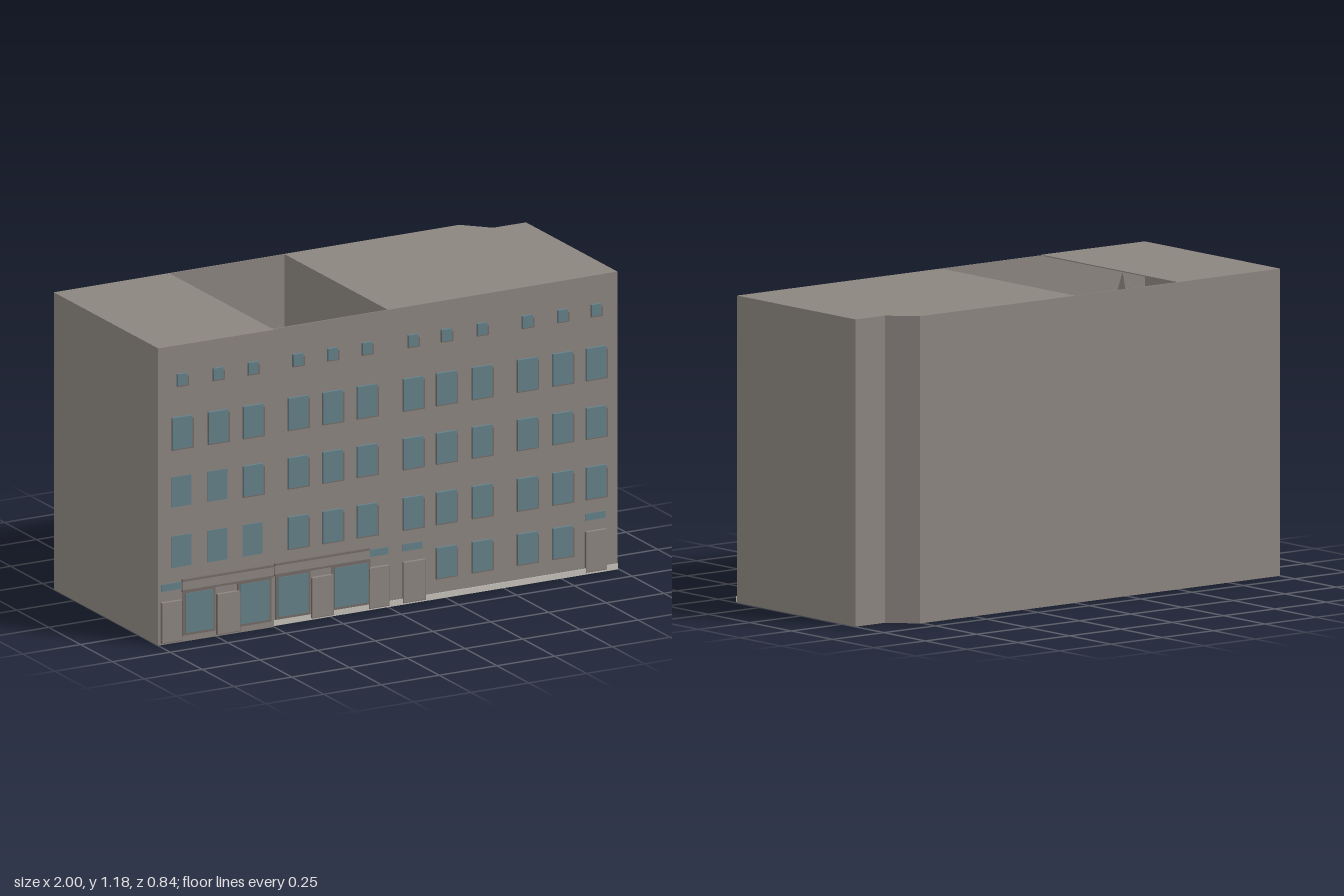
import * as THREE from 'three';

const mat = (name, color, side = THREE.FrontSide) => {
  const m = new THREE.MeshStandardMaterial({ color, side });
  m.name = name;
  return m;
};

export function createModel() {
  const model = new THREE.Group();
  model.name = 'cityBlock';
  const wall = mat('wall taupe', 0x8c8580);
  const glass = mat('window blue', 0x648089);
  const trim = mat('trim brown', 0x746b67);
  const stone = mat('plinth stone', 0xc6c2ba);
  const sheet = mat('partition taupe', 0x8c8580, THREE.DoubleSide);
  const H = 1.18, T = 0.004;

  // the facade line steps back slightly from left to right
  const frontZ = (x) => (x < -0.5 ? 0.405 + (x + 1) * 0.01 : 0.4 - (x + 0.5) * 0.006);

  function add(name, geometry, material, parent = model) {
    const mesh = new THREE.Mesh(geometry, material);
    mesh.name = name;
    parent.add(mesh);
    return mesh;
  }

  // vertical prism over a footprint of [x, z] points
  function prism(name, pts, y0, y1, material = wall) {
    const shape = new THREE.Shape(pts.map(([x, z]) => new THREE.Vector2(x, -z)));
    const g = new THREE.ExtrudeGeometry(shape, { depth: y1 - y0, bevelEnabled: false });
    g.rotateX(-Math.PI / 2).translate(0, y0, 0);
    return add(name, g, material);
  }

  // box on the facade, from x0..x1 and y0..y1, between two offsets from the wall
  function plate(name, x0, x1, y0, y1, near, far, material, parent = model) {
    const g = new THREE.BoxGeometry(x1 - x0, y1 - y0, far - near);
    const cx = (x0 + x1) / 2;
    g.translate(cx, (y0 + y1) / 2, frontZ(cx) + (near + far) / 2);
    return add(name, g, material, parent);
  }

  // solid right block with the cut corner at the back
  prism('rightBlock', [[0, 0.397], [0.997, 0.391], [0.997, -0.325], [0.855, -0.325],
    [0.76, -0.42], [0, -0.417]], 0, H);

  // hollow left block and the open light well beside it
  prism('leftFloor', [[-1, 0.405], [-0.5, 0.41], [-0.5, 0.4], [0, 0.397], [0, -0.417], [-1, -0.412]], 0, T);
  prism('leftRoof', [[-1, 0.405], [-0.5, 0.41], [-0.5, -0.414], [-1, -0.412]], H - T, H);
  prism('leftFront', [[-1, 0.405], [-0.5, 0.41], [-0.5, 0.41 - T], [-1, 0.405 - T]], T, H - T);
  prism('wellFront', [[-0.5, 0.4], [0, 0.397], [0, 0.397 - T], [-0.5, 0.4 - T]], T, H);
  prism('leftSide', [[-1, 0.405 - T], [-1 + T, 0.405 - T], [-1 + T, -0.412 + T], [-1, -0.412 + T]], T, H - T);
  prism('leftBack', [[-1, -0.412], [-1, -0.412 + T], [-0.5, -0.414 + T], [-0.5, -0.414]], T, H - T);
  prism('wellBack', [[-0.5, -0.414], [-0.5, -0.414 + T], [0, -0.417 + T], [0, -0.417]], T, H);
  prism('facadeStep', [[-0.504, 0.408], [-0.5, 0.41], [-0.5, 0.396], [-0.504, 0.396]], T, H - T);

  // triangular partition between the left block and the well
  const gable = new THREE.Shape([new THREE.Vector2(-0.4, T), new THREE.Vector2(0.41, T),
    new THREE.Vector2(0.08, H - T)]);
  add('partition', new THREE.ShapeGeometry(gable).rotateY(Math.PI / 2).translate(-0.5, 0, 0), sheet);

  // windows: a projecting casing with a glass plate on its face
  function windowAt(x, y0, y1, w, cased = true) {
    const g = new THREE.Group();
    g.name = 'window';
    model.add(g);
    const d = cased ? 0.01 : 0.001;
    if (cased) plate('casing', x - w / 2, x + w / 2 + 0.007, y0 - 0.005, y1 - 0.012, 0, d, trim, g);
    plate('pane', x - w / 2, x + w / 2, y0, y1, 0, d + 0.002, glass, g);
  }
  const columns = [-0.9, -0.745, -0.595, -0.395, -0.245, -0.095, 0.105, 0.25, 0.405, 0.602, 0.755, 0.9];
  for (const x of columns) {
    windowAt(x, 1.022, 1.068, 0.042);
    windowAt(x, 0.772, 0.897, 0.085);
    windowAt(x, 0.54, 0.66, 0.085, x > -0.65);
    windowAt(x, 0.3, 0.425, 0.085, x > -0.5);
  }
  for (const x of [0.25, 0.405, 0.602, 0.755]) windowAt(x, 0.085, 0.205, 0.085);

  // stone base along the street
  plate('plinth', -0.995, 0.995, 0.001, 0.024, 0, 0.004, stone);

  // shop fronts
  for (const [x0, x1] of [[-0.885, -0.765], [-0.65, -0.525], [-0.48, -0.35], [-0.235, -0.09]]) {
    plate('shopCasing', x0 - 0.01, x1 + 0.01, 0.025, 0.2, 0, 0.005, trim);
    plate('shopGlass', x0, x1, 0.035, 0.192, 0, 0.008, glass);
  }

  // sign bands above the shops, with a thin ledge on top and below
  for (const [x0, x1] of [[-0.9, -0.505], [-0.495, -0.085]]) {
    plate('signBand', x0, x1, 0.208, 0.242, 0, 0.01, wall);
    plate('ledge', x0, x1, 0.242, 0.25, 0, 0.013, trim);
    plate('ledge', x0, x1, 0.2, 0.208, 0, 0.011, trim);
  }

  // doors and piers
  for (const [x0, x1] of [[-0.99, -0.905], [-0.75, -0.655], [-0.335, -0.245], [-0.085, -0.003],
    [0.062, 0.155], [0.855, 0.943]]) {
    plate('doorSurround', x0, x1 + 0.004, 0.008, 0.166, 0, 0.01, trim);
    plate('doorPanel', x0, x1, 0.012, 0.17, 0, 0.014, wall);
  }

  // transom lights above the doors
  for (const x of [-0.945, -0.043, 0.105, 0.9]) {
    plate('transom', x - 0.042, x + 0.042, 0.212, 0.24, 0, 0.004, glass);
  }
  return model;
}
